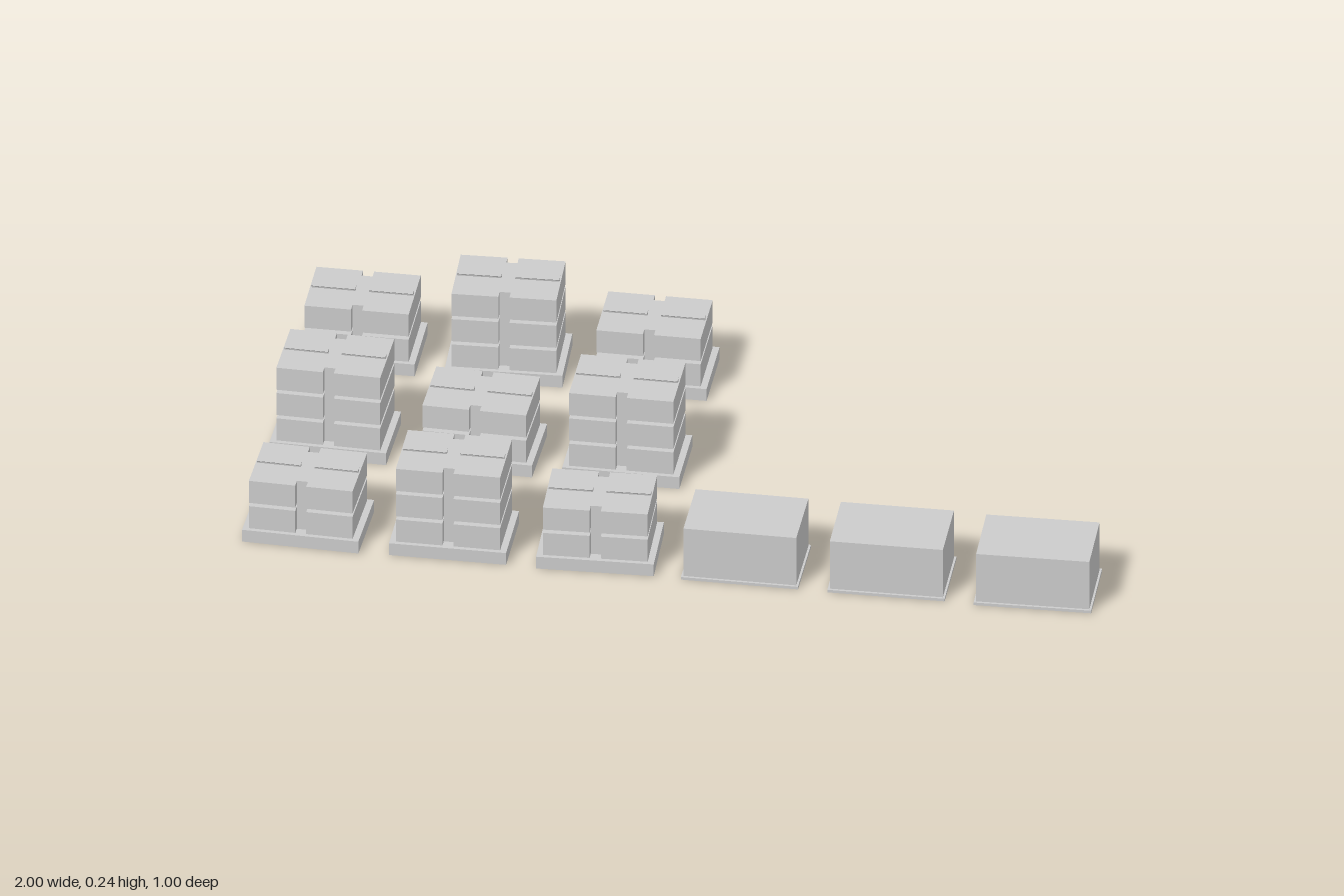
import * as THREE from 'three';

const grey = new THREE.MeshStandardMaterial({ color: 0xcccccc });
grey.name = 'pale grey';

const PITCH_X = 0.344, PITCH_Z = 0.398;
const PALLET_TOP = 0.032, LAYER = 0.069, SACK_H = 0.06;

function add(parent, name, geometry, x, y, z) {
  const mesh = new THREE.Mesh(geometry, grey);
  mesh.name = name;
  mesh.position.set(x, y, z);
  parent.add(mesh);
  return mesh;
}

const box = (w, h, d) => new THREE.BoxGeometry(w, h, d);

// Flared seam along the top of a sack, running in x
function seamGeometry(length) {
  const s = new THREE.Shape();
  s.moveTo(-0.004, 0);
  s.lineTo(0.004, 0);
  s.lineTo(0.005, 0.004);
  s.lineTo(0.01, 0.008);
  s.lineTo(-0.01, 0.008);
  s.lineTo(-0.005, 0.004);
  s.closePath();
  const g = new THREE.ExtrudeGeometry(s, { depth: length, bevelEnabled: false });
  g.translate(0, 0, -length / 2);
  g.rotateY(Math.PI / 2);
  return g;
}

// Pallet with layers of paired blocks around a recessed middle spacer
function sackStack(layers) {
  const g = new THREE.Group();
  g.name = 'sackStack';
  add(g, 'pallet', box(0.276, PALLET_TOP, 0.19), 0, PALLET_TOP / 2, 0);
  const top = 0.034 + (layers - 1) * LAYER + SACK_H;
  for (let i = 0; i < layers; i++) {
    const y = 0.034 + i * LAYER;
    for (const side of [-1, 1]) {
      add(g, 'sack', box(0.11, SACK_H, 0.176), side * 0.068, y + SACK_H / 2, 0);
      add(g, 'sackSeam', seamGeometry(0.104), side * 0.068, y + SACK_H, 0);
    }
  }
  const h = top - PALLET_TOP;
  add(g, 'middleSpacer', box(0.026, h, 0.132), 0, PALLET_TOP + h / 2, 0);
  return g;
}

// Plain crate on a thin base board
function crate() {
  const g = new THREE.Group();
  g.name = 'crate';
  add(g, 'baseBoard', box(0.276, 0.007, 0.19), 0, 0.0035, 0);
  add(g, 'crateBody', box(0.266, 0.129, 0.178), 0, 0.0715, 0);
  return g;
}

export function createModel() {
  const model = new THREE.Group();
  model.name = 'palletYard';

  const place = (item, column, row, degrees) => {
    item.position.set((column - 2.5) * PITCH_X, 0, (row - 1) * PITCH_Z);
    item.rotation.y = THREE.MathUtils.degToRad(degrees);
    model.add(item);
  };

  // Slight turns of each stack, rows from back to front
  const turns = [[0, 2.2, 0], [-1.5, -1.5, 0], [-2, 0, 2]];
  turns.forEach((row, r) => row.forEach((deg, c) => {
    place(sackStack((r + c) % 2 ? 3 : 2), c, r, deg);
  }));

  // Crates continue the front row
  [0, 0.8, 1.5].forEach((deg, i) => place(crate(), 3 + i, 2, deg));
  return model;
}
